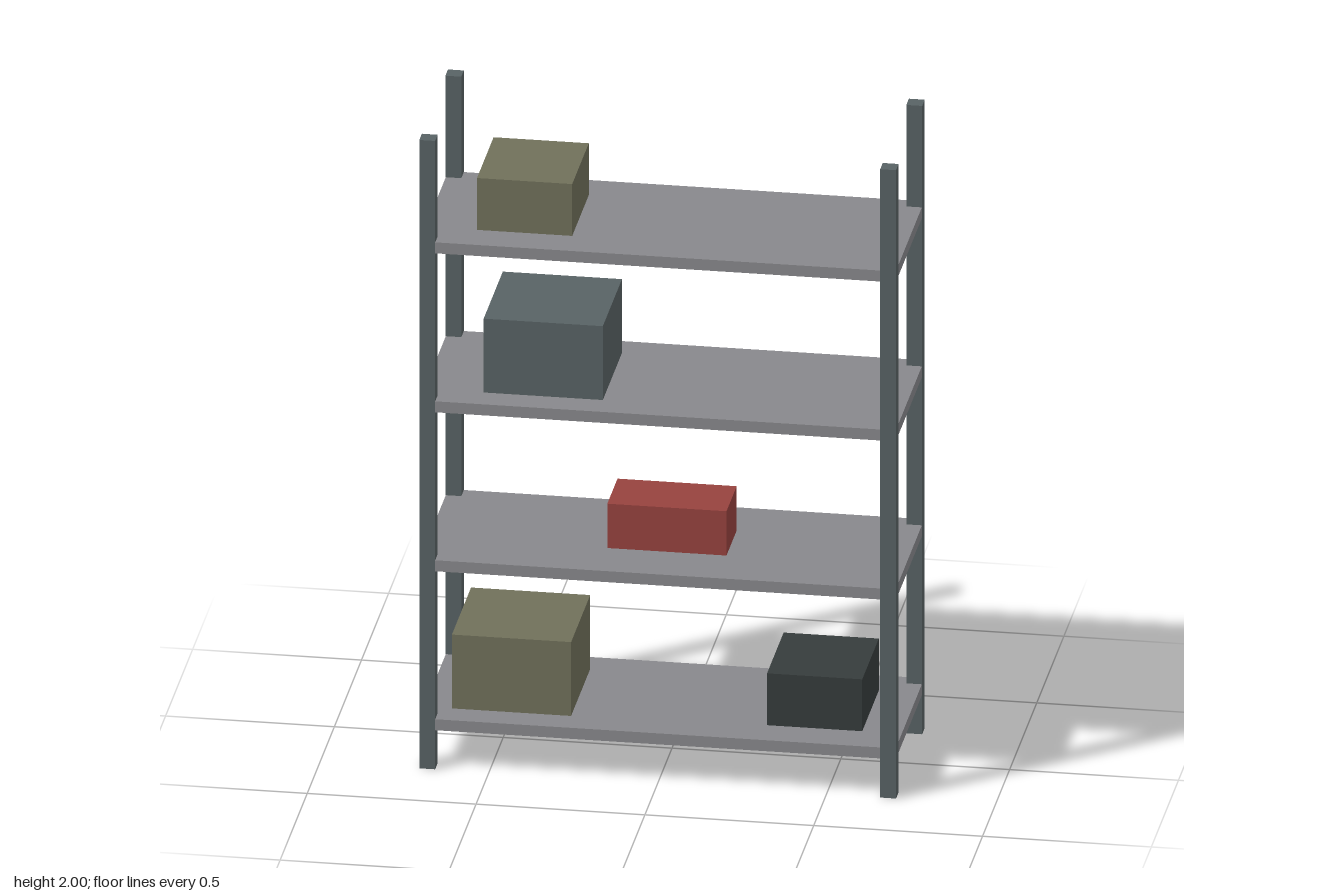
import * as THREE from 'three';

const paint = (name, color) => {
  const m = new THREE.MeshStandardMaterial({ color });
  m.name = name;
  return m;
};

export function createModel() {
  const steel = paint('slateSteel', 0x586264);
  const grey = paint('shelfGrey', 0x88888c);
  const olive = paint('olive', 0x70705a);
  const red = paint('red', 0x96423e);
  const dark = paint('charcoal', 0x363c3c);

  const rack = new THREE.Group();
  rack.name = 'storageRack';

  // Box standing on height y, centred on x and z
  const addBox = (name, material, [w, h, d], x, y, z = 0) => {
    const mesh = new THREE.Mesh(new THREE.BoxGeometry(w, h, d), material);
    mesh.name = name;
    mesh.position.set(x, y + h / 2, z);
    rack.add(mesh);
  };

  const width = 1.412, depth = 0.529, post = 0.047, thick = 0.035;

  // Corner posts
  for (const sx of [-1, 1])
    for (const sz of [-1, 1])
      addBox(`${sz > 0 ? 'front' : 'back'}${sx > 0 ? 'Left' : 'Right'}Post`, steel,
        [post, 2, post], sx * (width - post) / 2, 0, sz * (depth - post) / 2);

  // Shelves, a hair inside the outer faces of the posts
  const shelfTop = (i) => 0.159 + 0.506 * i;
  for (let i = 0; i < 4; i++)
    addBox(`shelf${i + 1}`, grey, [width - 0.002, thick, depth - 0.002], 0, shelfTop(i) - thick);

  // Stored boxes
  const large = [0.353, 0.235, 0.353], small = [0.282, 0.165, 0.306];
  addBox('largeOliveBox', olive, large, -0.447, shelfTop(0));
  addBox('smallDarkBox', dark, small, 0.447, shelfTop(0));
  addBox('redToolbox', red, [0.353, 0.141, 0.188], 0, shelfTop(1));
  addBox('largeSlateBox', steel, large, -0.353, shelfTop(2));
  addBox('smallOliveBox', olive, small, -0.412, shelfTop(3));

  return rack;
}
